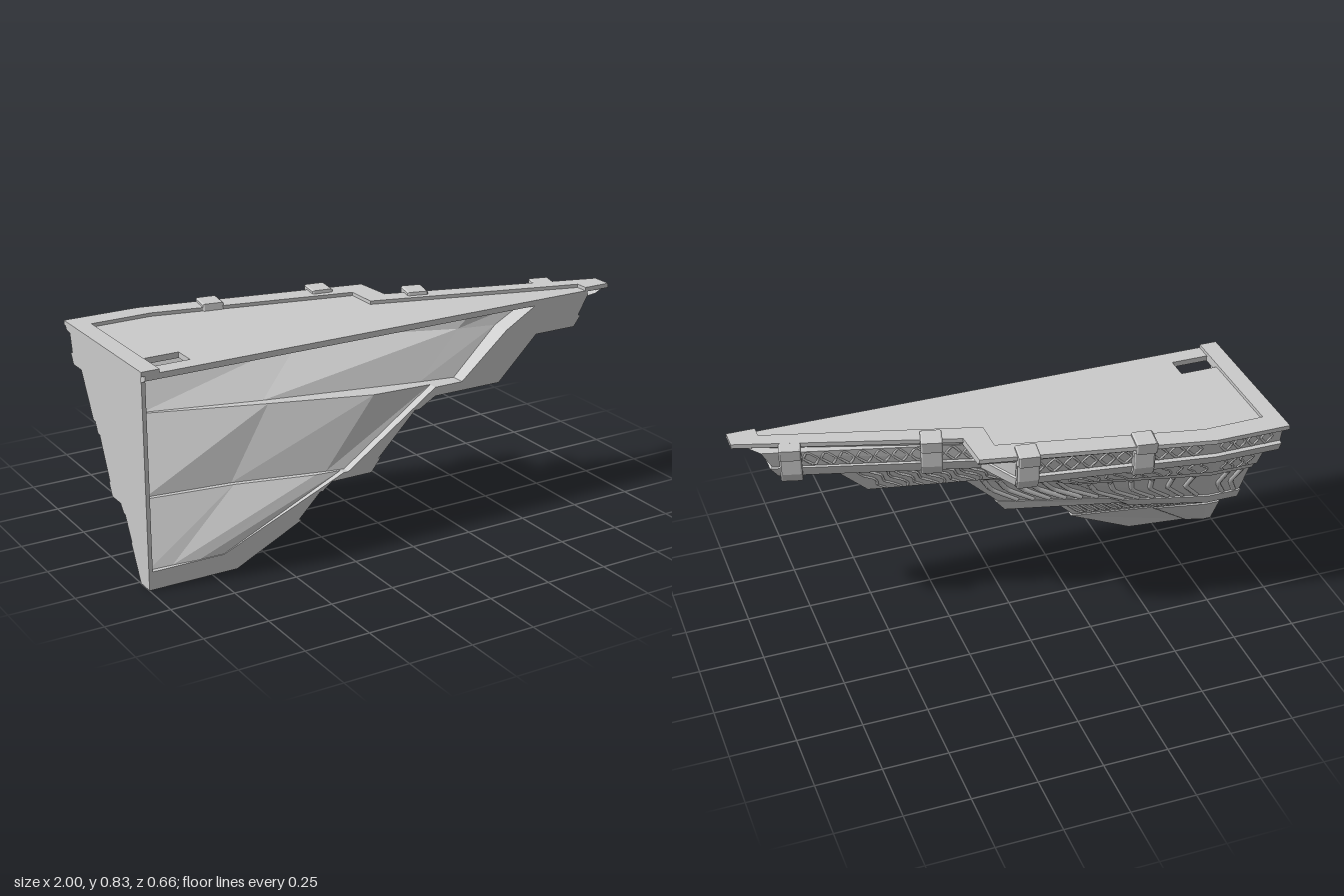
import * as THREE from 'three';

const FRONT = 0.33;
const KNOTS = [0, 0.15, 0.5, 0.6, 0.97, 1];
const stone = new THREE.MeshStandardMaterial({ color: 0xcccccc, flatShading: true, side: THREE.DoubleSide });
const smooth = new THREE.MeshStandardMaterial({ color: 0xcccccc });

// Rows of the corbel: [height, z at the left wall, x where it meets the front plane]
const OUTER = [
  [0, 0.26, -0.65], [0.13, 0.19, -0.38], [0.135, 0.195, -0.39],
  [0.225, 0.145, -0.3], [0.225, 0.135, -0.29], [0.255, 0.11, -0.25],
  [0.255, 0.04, -0.08], [0.305, 0.015, -0.04], [0.305, 0.025, -0.05],
  [0.465, -0.05, 0.11], [0.465, -0.065, 0.13], [0.505, -0.085, 0.2],
  [0.505, -0.1, 0.49], [0.67, -0.19, 0.66], [0.67, -0.26, 0.84],
  [0.71, -0.28, 0.87], [0.715, -0.265, 0.86], [0.785, -0.28, 0.9],
  [0.79, -0.31, 0.94], [0.82, -0.33, 1],
];
// Inner rows also give both corners of the jog: [x, z, x, z]
const INNER = [
  [0.07, 0.31, -0.7, [-0.9, 0.315, -0.8, 0.325]],
  [0.28, 0.176, -0.2, [-0.6, 0.22, -0.3, 0.295]],
  [0.28, 0.16, -0.18, [-0.6, 0.2, -0.25, 0.285]],
  [0.54, 0.015, 0.2, [-0.42, 0.16, -0.04, 0.28]],
  [0.54, 0.005, 0.32, [-0.42, 0.12, 0.18, 0.25]],
  [0.71, -0.09, 0.52, [-0.2, 0.01, 0.37, 0.22]],
  [0.785, -0.135, 0.65, [-0.07, -0.03, 0.45, 0.23]],
];

// Jog corners of an outer row: cornice, parapet, tall band, or nearly faded out low down
function outerJog(y, z) {
  const d = FRONT - z;
  const at = (x1, f1, x2, f2) => [x1, FRONT - f1 * d, x2, FRONT - f2 * d];
  if (z < -0.3) return at(0.17, 0.735, 0.18, 0.5);
  if (z < -0.25) return at(0.03, 0.81, 0.11, 0.55);
  const x = 0.17 - 1.3 * (0.82 - y);
  return y > 0.5 ? at(x, 0.72, x + 0.09, 0.5) : at(x, 0.69, x + 0.085 * d, 0.6);
}

// Plan of one row: straight run, slanted run, jog, slanted run, return to the front
function plan([y, z, xEnd, jog = outerJog(y, z)], x0) {
  const [x1, z1, x2, z2] = jog;
  const d = FRONT - z;
  const zEnd = Math.max(FRONT - (y < 0.79 ? 0.2 : 0.12) * d, z2 + 0.3 * (FRONT - z2));
  return [
    [x0, z], [Math.min(-1 + 0.45 * d, x1 - 0.02), z], [x1, z1], [x2, z2], [xEnd, zEnd], [xEnd, FRONT],
  ].map(([x, pz]) => new THREE.Vector3(x, y, pz));
}

// Skin through rows of points
function loft(rows, inward) {
  const pos = [];
  const add = (...ps) => ps.forEach(p => pos.push(p.x, p.y, p.z));
  for (let r = 0; r < rows.length - 1; r++) {
    for (let i = 0; i < rows[r].length - 1; i++) {
      const a = rows[r][i], b = rows[r][i + 1], c = rows[r + 1][i + 1], d = rows[r + 1][i];
      if (inward) add(a, b, c, a, c, d);
      else add(a, c, b, a, d, c);
    }
  }
  const g = new THREE.BufferGeometry();
  g.setAttribute('position', new THREE.Float32BufferAttribute(pos, 3));
  g.computeVertexNormals();
  return g;
}

const shapeOf = pts => new THREE.Shape(pts.map(([x, y]) => new THREE.Vector2(x, y)));

// Horizontal plate from a plan outline in x and z
function plate(pts, y, height, hole) {
  const s = shapeOf(pts.map(([x, z]) => [x, -z]));
  if (hole) s.holes.push(shapeOf(hole.map(([x, z]) => [x, -z])));
  const g = new THREE.ExtrudeGeometry(s, { depth: height, bevelEnabled: false });
  return g.rotateX(-Math.PI / 2).translate(0, y, 0);
}

export function createModel() {
  const model = new THREE.Group();
  const add = (name, geo, mat = stone, parent = model) => {
    const m = new THREE.Mesh(geo, mat);
    m.name = name;
    parent.add(m);
    return m;
  };
  const group = name => {
    const g = new THREE.Group();
    g.name = name;
    model.add(g);
    return g;
  };

  // Stepped outside and plainer hollow inside
  const outer = OUTER.map(r => plan(r, -1));
  const inner = INNER.map(r => plan(r, -0.985));
  add('corbelOutside', loft(outer, false));
  add('corbelInside', loft(inner, true));

  // Flat closing faces: left wall, its inside, base, inner floor, front rim
  const wall = (rows, x) => new THREE.ShapeGeometry(shapeOf([
    ...rows.map(r => [r[1], r[0]]), [FRONT, rows.at(-1)[0]], [FRONT, rows[0][0]],
  ])).rotateY(-Math.PI / 2).translate(x, 0, 0);
  add('leftWall', wall(OUTER, -1));
  add('leftWallInside', wall(INNER, -0.985));
  const flat = pts => new THREE.ShapeGeometry(shapeOf(pts.map(p => [p.x, -p.z]).concat([[pts[0].x, -FRONT]])))
    .rotateX(-Math.PI / 2).translate(0, pts[0].y, 0);
  add('base', flat(outer[0]));
  add('innerFloor', flat(inner[0]));
  const rim = [[-1, 0.785], [-1, 0],
    ...OUTER.filter(r => r[0] <= 0.785).map(r => [r[2], r[0]]),
    ...[...INNER].reverse().map(r => [r[2], r[0]]), [-0.985, 0.07], [-0.985, 0.785]];
  add('frontRim', new THREE.ShapeGeometry(shapeOf(rim)).translate(0, 0, FRONT));

  // Balcony floor with a small hatch, and the raised ledge round it
  const ledgeInside = [[0.89, 0.33], [0.89, 0.28], [0.085, 0.05], [0.085, -0.08], [-0.69, -0.245], [-0.93, -0.24], [-0.93, 0.33], [-1, 0.33]];
  const floor = [[-0.985, 0.33], [0.9, 0.33], [0.9, 0.27], [0.1, 0.04], [0.1, -0.09], [-0.69, -0.255], [-0.985, -0.255]];
  add('balconyFloor', plate(floor, 0.785, 0.022, [[-0.93, 0.17], [-0.78, 0.17], [-0.78, 0.26], [-0.93, 0.26]]));
  add('ledge', plate([...outer.at(-1).map(p => [p.x, p.z]), ...ledgeInside], 0.803, 0.0175));

  // Point on band i of the outside: u along the plan, v up the band
  const onRow = (r, u) => {
    let k = 0;
    while (k < 4 && u > KNOTS[k + 1]) k++;
    return outer[r][k].clone().lerp(outer[r][k + 1], (u - KNOTS[k]) / (KNOTS[k + 1] - KNOTS[k]));
  };
  const on = (i, u, v) => onRow(i, u).lerp(onRow(i + 1, u), v);
  const normal = (i, u, v) => {
    const du = on(i, u + 0.004, v).sub(on(i, u - 0.004, v));
    const dv = on(i, u, 1).sub(on(i, u, 0));
    return dv.cross(du).normalize();
  };

  // Posts wrapping the parapet; the corner one stops below the ledge top
  const postShape = shapeOf([[-0.05, 0.668], [0.012, 0.668], [0.034, 0.71], [0.034, 0.78], [0.06, 0.79], [0.064, 0.829], [-0.02, 0.829]]);
  const posts = group('parapetPosts');
  for (const u of [0.28, 0.48, 0.69, 0.945]) {
    const g = new THREE.ExtrudeGeometry(postShape, { depth: 0.07, bevelEnabled: true, bevelSize: 0.004, bevelThickness: 0.006, bevelSegments: 1 });
    const p = onRow(14, u), n = normal(16, u, 0.5);
    const m = add('post', g.translate(0, 0, -0.035), stone, posts);
    m.position.set(p.x, 0, p.z);
    m.rotation.y = Math.atan2(-n.z, n.x);
    if (u > 0.9) m.scale.y = 0.985;
  }

  // Carved ridge following points [u, v] on a band
  const ridge = (name, parent, i, pts, radius, closed = false) => {
    const path = new THREE.CatmullRomCurve3(pts.map(([u, v]) => on(i, u, v)), closed, 'catmullrom', 0.15);
    add(name, new THREE.TubeGeometry(path, pts.length * 3, radius, 5, closed), smooth, parent);
  };
  // Evenly spaced places along the runs, skipping the jog
  const places = n => Array.from({ length: n }, (_, k) => 0.02 + 0.92 * (k + 0.5) / n)
    .filter(u => Math.abs(u - 0.55) > 0.065 && Math.abs(u - 0.15) > 0.012);

  // Diamonds along the parapet
  const diamonds = group('parapetDiamonds');
  for (const u of places(30)) {
    const w = 0.013;
    ridge('diamond', diamonds, 16, [[u - w, 0.5], [u, 0.95], [u + w, 0.5], [u, 0.05]], 0.005, true);
  }

  // Winding carving on the tall band
  const winding = group('windingCarving');
  places(34).forEach((u, k) => {
    const pts = Array.from({ length: 9 }, (_, j) => [u + 0.008 * Math.sin(j * 1.7 + k * 2.1), 0.04 + 0.92 * j / 8]);
    ridge('windingRidge', winding, 12, pts, 0.005);
  });

  // Chevrons on the middle band
  const chevrons = group('chevrons');
  for (const u of places(17)) {
    ridge('chevron', chevrons, 8, [[u - 0.015, 0.05], [u + 0.015, 0.5], [u - 0.015, 0.95]], 0.011);
  }

  // Square panels on the lowest band
  const squares = group('squarePanels');
  for (const u of places(16)) {
    const w = 0.016;
    ridge('squarePanel', squares, 2, [[u - w, 0.15], [u + w, 0.15], [u + w, 0.85], [u - w, 0.85]], 0.005, true);
  }
  return model;
}
